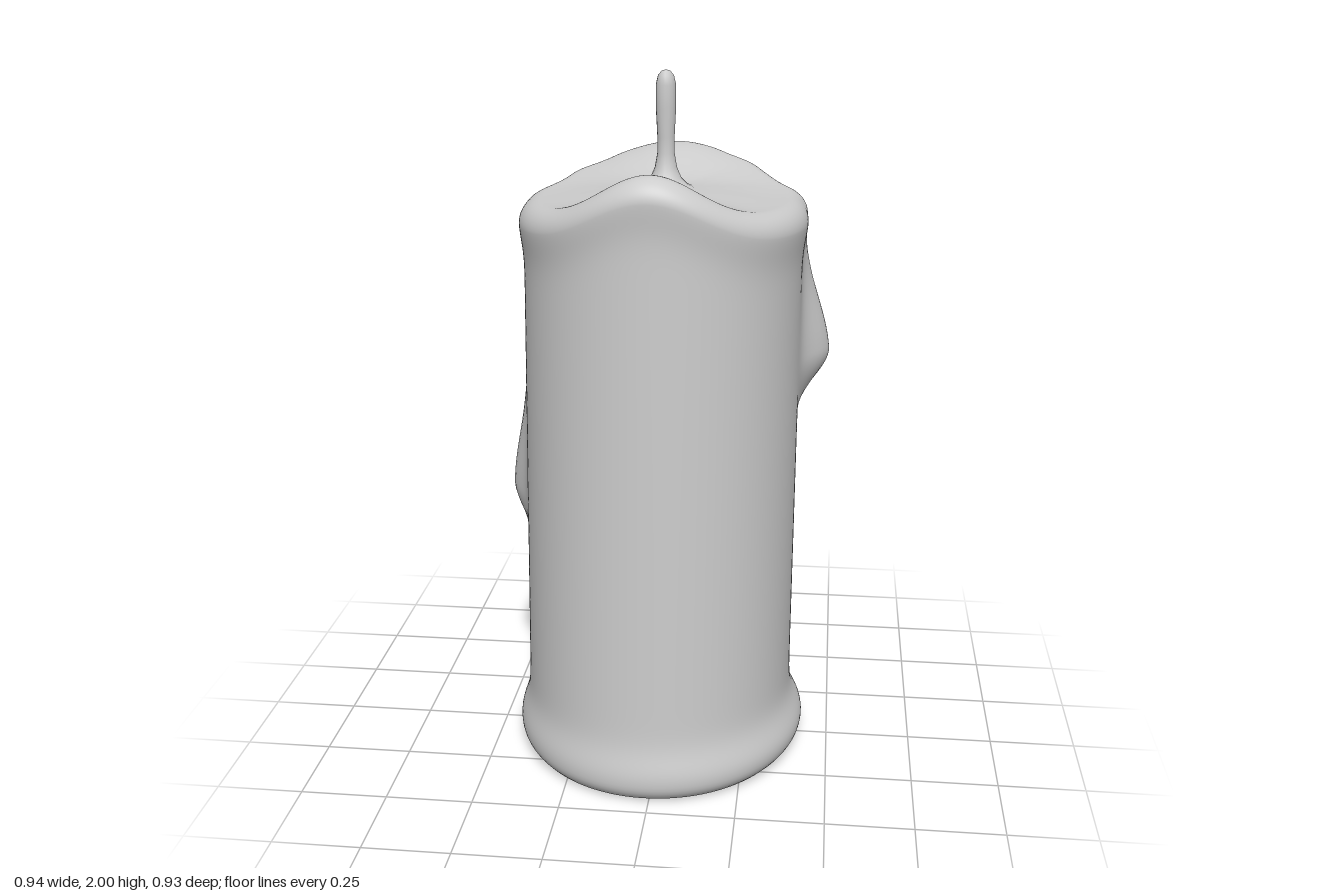
import * as THREE from 'three';
import { ParametricGeometry } from 'three/addons/geometries/ParametricGeometry.js';
import { mergeVertices } from 'three/addons/utils/BufferGeometryUtils.js';

const { lerp, smoothstep } = THREE.MathUtils;
const FLOOR = 1.68; // level of the melted pool
const RIM = 0.065; // height of the rounded rim

// Wax runs: direction (x, z), height of the bulge, how far it stands out, angular width
const drips = [
  { x: 0.46, z: -0.175, tip: 1.19, out: 0.115, w: 0.2 },
  { x: 0.335, z: -0.42, tip: 0.72, out: 0.135, w: 0.24 },
  { x: 0.3, z: -0.43, tip: 1.47, out: 0.045, w: 0.14 },
  { x: 0.155, z: -0.46, tip: 0.9, out: 0.075, w: 0.11 },
  { x: -0.2, z: -0.42, tip: 1.43, out: 0.025, w: 0.13 },
  { x: -0.385, z: -0.37, tip: 1.28, out: 0.135, w: 0.18 },
  { x: -0.465, z: -0.1, tip: 0.77, out: 0.075, w: 0.2 },
].map((d) => ({ ...d, angle: Math.atan2(d.x, d.z) }));

// Signed difference of two angles, -PI..PI
const turn = (a, b) => Math.atan2(Math.sin(a - b), Math.cos(a - b));
const bell = (d, w) => Math.exp(-((d / w) ** 2));

// Rim height: a narrow peak in front, a broad one behind
const rimHeight = (a) => 1.655 + 0.12 * bell(turn(a, 0), 0.53) + 0.105 * bell(turn(a, Math.PI), 0.78);

// How far the wax runs stand out of the wall: a slim trail that swells into a round bulge
function dripOut(a, y) {
  let sum = 0;
  for (const d of drips) {
    const t = Math.max(0, (1.68 - y) / (1.68 - d.tip));
    const bulge = bell(y - d.tip, y > d.tip ? 0.22 : 0.12);
    const trail = t < 1 ? 0.04 + 0.46 * t : 0.5 * bulge;
    const width = d.w * (0.75 + 0.25 * bulge);
    const out = d.out * (trail + 0.5 * bulge) * bell(turn(a, d.angle), width);
    sum = Math.hypot(sum, out);
  }
  return sum;
}

// A point on the wall, scaled towards the axis by s
function wallPoint(a, y, s, target, height = y) {
  const k = Math.min(y / 1.7, 1);
  const foot = Math.max(0, 1 - y / 0.05);
  const flange = 0.035 - 0.015 * Math.cos(a) + 0.005 * Math.sin(a);
  const grow = dripOut(a, y)
    + flange * bell(y - 0.07, 0.075)
    + 0.014 * bell(y - rimHeight(a) + 0.05, 0.08)
    - 0.035 * (1 - Math.sqrt(1 - foot * foot));
  const x = lerp(-0.016, -0.002, k) + Math.sin(a) * (lerp(0.396, 0.388, k) + grow) * s;
  const z = lerp(0.016, 0.007, k) + Math.cos(a) * (lerp(0.43, 0.405, k) + grow) * s;
  return target.set(x, height, z);
}

// Candle skin from the middle of the underside, up the wall, over the rim, into the pool
function candlePoint(u, v, target) {
  const a = u * Math.PI * 2;
  const top = rimHeight(a);
  const shoulder = top - RIM;
  if (v <= 0.05) return wallPoint(a, 0, v / 0.05, target);
  if (v <= 0.8) return wallPoint(a, shoulder * (v - 0.05) / 0.75, 1, target);
  if (v <= 0.88) {
    const q = ((v - 0.8) / 0.08) * Math.PI / 2;
    return wallPoint(a, shoulder, 0.84 + 0.16 * Math.cos(q), target, shoulder + RIM * Math.sin(q));
  }
  const s = Math.max(0, 0.84 * (1 - (v - 0.88) / 0.12));
  return wallPoint(a, shoulder, s, target, lerp(FLOOR, top, smoothstep(s, 0.2, 0.86)));
}

// Weld the seam so the shading runs smoothly around
function smooth(geometry) {
  geometry.deleteAttribute('uv');
  geometry.deleteAttribute('normal');
  const welded = mergeVertices(geometry, 1e-5);
  welded.computeVertexNormals();
  return welded;
}

export function createModel() {
  const group = new THREE.Group();
  group.name = 'candle';
  const material = new THREE.MeshStandardMaterial({ color: 0xcccccc, roughness: 0.8 });

  // Wax body with base flange, runs, rim and pool
  const body = new THREE.Mesh(smooth(new ParametricGeometry(candlePoint, 160, 200)), material);
  body.name = 'waxBody';
  group.add(body);

  // Wick, flared where wax clings to its foot
  const wickProfile = [
    [0.09, 1.675], [0.062, 1.687], [0.044, 1.705], [0.031, 1.735], [0.024, 1.775],
    [0.024, 1.82], [0.028, 1.9], [0.028, 1.96], [0.022, 1.985], [0.012, 1.997], [0, 2],
  ].map(([r, y]) => new THREE.Vector2(r, y));
  const wick = new THREE.Mesh(smooth(new THREE.LatheGeometry(wickProfile, 16)), material);
  wick.name = 'wick';
  wick.position.z = -0.02;
  group.add(wick);

  return group;
}
